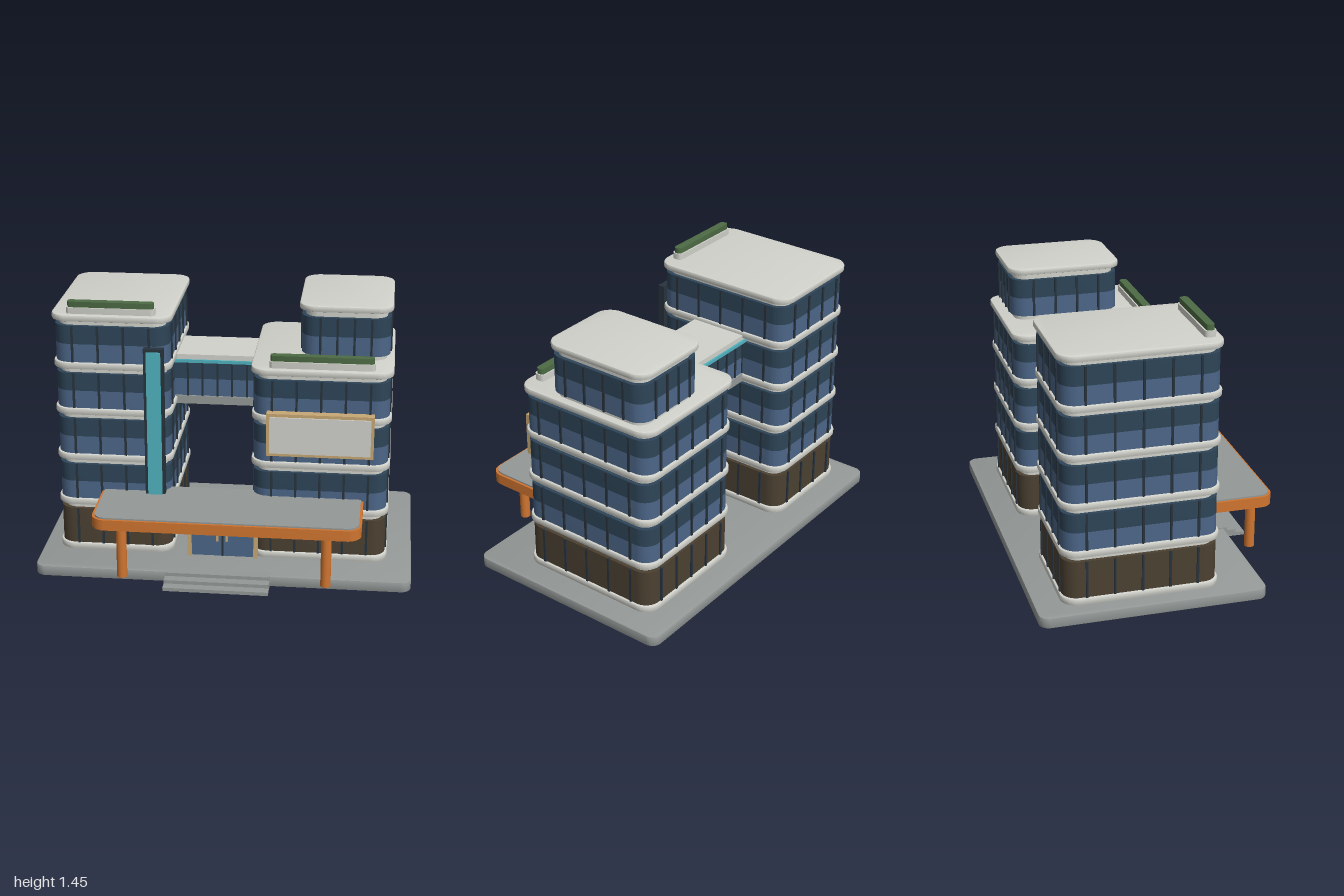
import * as THREE from 'three';
import { toCreasedNormals } from 'three/addons/utils/BufferGeometryUtils.js';

function mat(name, color) {
  const m = new THREE.MeshStandardMaterial({ color });
  m.name = name;
  return m;
}

export function createModel() {
  const white = mat('white concrete', 0xd2d2cc);
  const grey = mat('grey paving', 0x949998);
  const glassLow = mat('light glass', 0x4c6688);
  const glassHigh = mat('dark glass', 0x2e4558);
  const brown = mat('bronze glass', 0x4c4132);
  const orange = mat('orange canopy', 0xd07530);
  const green = mat('hedge green', 0x4d6b44);
  const teal = mat('teal', 0x50b2bf);
  const tan = mat('tan trim', 0xc8a873);
  const dark = mat('dark frame', 0x28333d);

  const model = new THREE.Group();
  model.name = 'officeComplex';

  const group = (name, parent = model) => {
    const g = new THREE.Group();
    g.name = name;
    parent.add(g);
    return g;
  };

  const add = (parent, name, geo, material) => {
    const m = new THREE.Mesh(geo, material);
    m.name = name;
    parent.add(m);
    return m;
  };

  // box given by its extents
  const box = (parent, name, material, x0, x1, y0, y1, z0, z1) => {
    const m = add(parent, name, new THREE.BoxGeometry(x1 - x0, y1 - y0, z1 - z0), material);
    m.position.set((x0 + x1) / 2, (y0 + y1) / 2, (z0 + z1) / 2);
    return m;
  };

  // horizontal slab with rounded plan corners; rb = radius of the back corners
  const slab = (parent, name, material, x0, x1, y0, y1, z0, z1, r, bevel = 0, rb = r) => {
    const [l, t] = [x0 + bevel, -z0 - bevel], [rt, b] = [x1 - bevel, -z1 + bevel];
    const s = new THREE.Shape();
    s.moveTo(l + r, b);
    s.lineTo(rt - r, b);
    s.absarc(rt - r, b + r, r, -Math.PI / 2, 0);
    if (rb > 0) {
      s.absarc(rt - rb, t - rb, rb, 0, Math.PI / 2);
      s.absarc(l + rb, t - rb, rb, Math.PI / 2, Math.PI);
    } else {
      s.lineTo(rt, t);
      s.lineTo(l, t);
    }
    s.absarc(l + r, b + r, r, Math.PI, Math.PI * 1.5);
    const geo = new THREE.ExtrudeGeometry(s, {
      depth: y1 - y0 - 2 * bevel, curveSegments: 8, bevelEnabled: bevel > 0,
      bevelSize: bevel, bevelThickness: bevel, bevelSegments: 2,
    });
    geo.translate(0, 0, bevel);
    geo.rotateX(-Math.PI / 2);
    return add(parent, name, toCreasedNormals(geo, 0.6), material).translateY(y0);
  };

  // one storey: glazing, mullions all round and a recessed header above
  const storey = (parent, x0, x1, z0, z1, y0, y1, yTop, nx, nz, ground) => {
    const r = 0.08, mid = y0 + (y1 - y0) * 0.5;
    if (ground) {
      slab(parent, 'groundGlazing', brown, x0, x1, y0, y1, z0, z1, r);
    } else {
      slab(parent, 'lowerGlazing', glassLow, x0, x1, y0, mid, z0, z1, r);
      slab(parent, 'upperGlazing', glassHigh, x0, x1, mid, y1, z0, z1, r);
    }
    slab(parent, 'header', white, x0 + 0.02, x1 - 0.02, y1, yTop, z0 + 0.02, z1 - 0.02, 0.07);
    const w = 0.006, d = 0.008;
    for (let i = 0; i < nx; i++) {
      const x = THREE.MathUtils.lerp(x0 + 0.1, x1 - 0.1, i / (nx - 1));
      box(parent, 'mullion', dark, x - w, x + w, y0, y1, z1 - d, z1 + d);
      box(parent, 'mullion', dark, x - w, x + w, y0, y1, z0 - d, z0 + d);
    }
    for (let i = 0; i < nz; i++) {
      const z = THREE.MathUtils.lerp(z0 + 0.115, z1 - 0.115, i / (nz - 1));
      box(parent, 'mullion', dark, x0 - d, x0 + d, y0, y1, z - w, z + w);
      box(parent, 'mullion', dark, x1 - d, x1 + d, y0, y1, z - w, z + w);
    }
  };

  // tower of stacked storeys between floor bands
  const tower = (name, x0, x1, levels, nx) => {
    const g = group(name), z0 = -0.54, z1 = 0.295, e = 0.012;
    for (let i = 0; i < levels.length - 1; i++) {
      const y = levels[i], next = levels[i + 1];
      slab(g, 'floorBand', white, x0, x1, y, y + 0.037, z0, z1, 0.08, 0.008);
      storey(g, x0 + e, x1 - e, z0 + e, z1 - e, y + 0.037, next - 0.025, next, nx, 5, i === 0);
    }
    const top = levels[levels.length - 1];
    slab(g, 'roof', white, x0 - 0.004, x1 + 0.004, top, top + 0.035, z0 - 0.004, z1, 0.08, 0.008);
    return g;
  };

  const planter = (x0, x1, y) => {
    const g = group('planter');
    slab(g, 'trough', white, x0, x1, y, y + 0.035, 0.205, 0.265, 0.022);
    slab(g, 'hedge', green, x0 + 0.006, x1 - 0.006, y + 0.035, y + 0.065, 0.213, 0.257, 0.018);
  };

  // plinth and entrance steps
  slab(model, 'plinth', grey, -1, 1, 0, 0.056, -0.675, 0.52, 0.05, 0.004);
  for (let i = 0; i < 3; i++) {
    box(model, 'step', grey, -0.295, 0.26, 0.004 + i * 0.019, 0.023 + i * 0.019,
      0.48, 0.64 - i * 0.05);
  }

  // towers
  tower('rightTower', -0.915, -0.287, [0.056, 0.32, 0.58, 0.84, 1.095, 1.355], 4);
  planter(-0.835, -0.37, 1.388);
  tower('leftTower', 0.132, 0.868, [0.056, 0.32, 0.58, 0.84, 1.095], 5);
  planter(0.225, 0.775, 1.13);

  // penthouse on the lower tower
  const pent = group('penthouse');
  slab(pent, 'base', white, 0.395, 0.83, 1.128, 1.155, -0.475, 0.085, 0.07);
  storey(pent, 0.38, 0.848, -0.493, 0.102, 1.155, 1.36, 1.392, 4, 4, false);
  slab(pent, 'roof', white, 0.366, 0.858, 1.392, 1.425, -0.507, 0.115, 0.08, 0.008);

  // bridge between the towers
  const bridge = group('bridge');
  const [bx0, bx1] = [-0.31, 0.15];
  box(bridge, 'deck', grey, bx0, bx1, 0.835, 0.88, -0.28, 0.045);
  box(bridge, 'lowerGlazing', glassLow, bx0, bx1, 0.88, 0.975, -0.27, 0.035);
  box(bridge, 'upperGlazing', glassHigh, bx0, bx1, 0.975, 1.075, -0.27, 0.035);
  box(bridge, 'tealStrip', teal, bx0, bx1, 1.07, 1.087, -0.288, 0.052);
  box(bridge, 'roof', white, bx0, bx1, 1.087, 1.114, -0.277, 0.042);
  for (let i = 0; i < 5; i++) {
    const x = -0.23 + i * 0.08;
    for (const z of [-0.27, 0.035]) {
      box(bridge, 'mullion', dark, x - 0.005, x + 0.005, 0.88, 1.07, z - 0.007, z + 0.007);
    }
  }

  // vertical accent fin
  const fin = group('accentFin');
  box(fin, 'frame', dark, -0.425, -0.32, 0.228, 1.228, 0.28, 0.32);
  box(fin, 'panel', teal, -0.41, -0.334, 0.245, 1.212, 0.32, 0.329);

  // blank sign board
  const sign = group('signBoard');
  box(sign, 'frame', tan, 0.218, 0.78, 0.667, 0.902, 0.28, 0.332);
  box(sign, 'panel', white, 0.235, 0.764, 0.684, 0.885, 0.332, 0.34);

  // entrance canopy on two columns
  const canopy = group('canopy');
  slab(canopy, 'fascia', orange, -0.665, 0.735, 0.35, 0.408, 0.2, 0.665, 0.075, 0, 0);
  slab(canopy, 'deck', grey, -0.652, 0.722, 0.408, 0.416, 0.212, 0.652, 0.065, 0, 0);
  for (const x of [-0.515, 0.556]) {
    add(canopy, 'column', new THREE.CylinderGeometry(0.027, 0.027, 0.296, 24), orange)
      .position.set(x, 0.204, 0.588);
  }

  // entrance lobby with double doors
  const door = group('entrance');
  box(door, 'lowerGlass', glassLow, -0.19, 0.16, 0.056, 0.21, 0.24, 0.297);
  box(door, 'upperGlass', glassHigh, -0.19, 0.16, 0.21, 0.34, 0.24, 0.297);
  for (const x of [-0.205, 0.153]) box(door, 'jamb', tan, x, x + 0.022, 0.056, 0.345, 0.235, 0.312);
  box(door, 'lintel', tan, -0.205, 0.175, 0.335, 0.352, 0.235, 0.312);
  box(door, 'doorSplit', dark, -0.02, -0.01, 0.056, 0.335, 0.29, 0.303);
  for (const x of [-0.04, 0.01]) {
    box(door, 'handle', tan, x - 0.006, x + 0.006, 0.155, 0.235, 0.318, 0.33);
    for (const y of [0.165, 0.22]) {
      box(door, 'handleBracket', tan, x - 0.004, x + 0.004, y, y + 0.008, 0.295, 0.32);
    }
  }

  return model;
}
